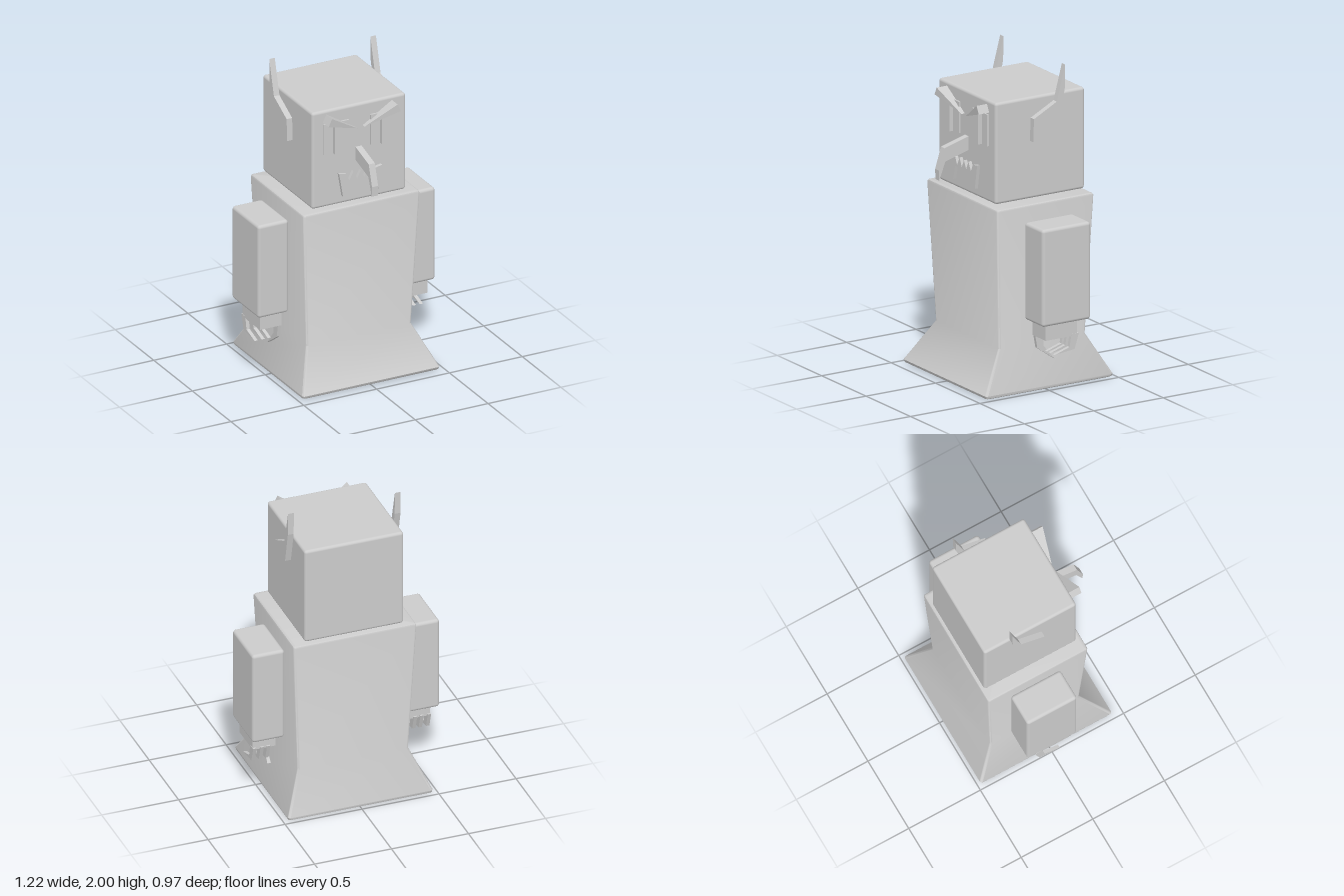
import * as THREE from 'three';
import { toCreasedNormals } from 'three/addons/utils/BufferGeometryUtils.js';
import { RoundedBoxGeometry } from 'three/addons/geometries/RoundedBoxGeometry.js';

const mat = new THREE.MeshStandardMaterial({ color: 0xcccccc });

function add(parent, name, geo) {
  const mesh = new THREE.Mesh(geo, mat);
  mesh.name = name;
  parent.add(mesh);
  return mesh;
}

// Box given by its extents on each axis; r rounds the edges
function block([x0, x1], [y0, y1], [z0, z1], r = 0) {
  const size = [x1 - x0, y1 - y0, z1 - z0];
  const geo = r ? new RoundedBoxGeometry(...size, 3, r) : new THREE.BoxGeometry(...size);
  return geo.translate((x0 + x1) / 2, (y0 + y1) / 2, (z0 + z1) / 2);
}

const outline = pts => new THREE.Shape(pts.map(p => new THREE.Vector2(...p)));

// Side profile of [z, y] points, given a thickness along x
function sidePlate(pts, cx, width) {
  return new THREE.ExtrudeGeometry(outline(pts), { depth: width, bevelEnabled: false })
    .rotateY(-Math.PI / 2).translate(cx + width / 2, 0, 0);
}

// Front profile of [x, y] points, with depth from z0 forwards
function frontPlate(pts, z0, depth) {
  return new THREE.ExtrudeGeometry(outline(pts), { depth, bevelEnabled: false }).translate(0, 0, z0);
}

// Loft through rounded rectangles: [y, half width, back z, front z]
function loft(rings, r, steps = 3) {
  const pos = [], idx = [], n = 4 * (steps + 1);
  for (const [y, hx, z0, z1] of rings) {
    for (let c = 0; c < 4; c++) {
      const sx = c === 0 || c === 3 ? 1 : -1, front = c < 2;
      for (let k = 0; k <= steps; k++) {
        const a = (c + k / steps) * Math.PI / 2;
        pos.push(sx * (hx - r) + r * Math.cos(a), y, (front ? z1 - r : z0 + r) + r * Math.sin(a));
      }
    }
  }
  for (let i = 0; i < rings.length - 1; i++) {
    for (let j = 0; j < n; j++) {
      const a = i * n + j, b = i * n + (j + 1) % n;
      idx.push(a, a + n, b, b, a + n, b + n);
    }
  }
  const top = (rings.length - 1) * n;
  for (let j = 1; j < n - 1; j++) idx.push(0, j, j + 1, top, top + j + 1, top + j);
  const geo = new THREE.BufferGeometry();
  geo.setAttribute('position', new THREE.Float32BufferAttribute(pos, 3));
  geo.setIndex(idx);
  return toCreasedNormals(geo, 0.8);
}

export function createModel() {
  const model = new THREE.Group();
  model.name = 'figure';

  // Body: slim waist, flared skirt, softened rims
  add(model, 'body', loft([
    [0, 0.455, -0.465, 0.42],
    [0.006, 0.466, -0.476, 0.431],
    [0.022, 0.47, -0.48, 0.436],
    [0.27, 0.36, -0.35, 0.272],
    [1.15, 0.4, -0.387, 0.31],
    [1.16, 0.396, -0.383, 0.306],
    [1.164, 0.386, -0.373, 0.296],
  ], 0.015));

  // Head
  const head = new THREE.Group();
  head.name = 'head';
  model.add(head);
  add(head, 'skull', block([-0.322, 0.322], [1.175, 1.818], [-0.37, 0.273], 0.018));
  add(head, 'nose', sidePlate([
    [0.26, 1.45], [0.44, 1.4], [0.484, 1.285], [0.487, 1.35], [0.445, 1.485], [0.26, 1.537],
  ], -0.004, 0.042));

  // Mouth strip: jagged teeth upwards, a long fang down at each end
  const half = [[0.1, 1.32], [0.122, 1.23], [0.148, 1.385], [0.098, 1.375], [0.078, 1.33], [0.05, 1.385], [0.025, 1.33]];
  const mirrored = half.map(([x, y]) => [-x, y]).reverse();
  add(head, 'mouth', frontPlate([...half, [0, 1.38], ...mirrored], 0.265, 0.03));

  for (const s of [1, -1]) {
    const span = (a, b) => s > 0 ? [a, b] : [-b, -a];

    add(head, 'ear', sidePlate([
      [0.03, 1.545], [0.025, 1.69], [-0.14, 1.775], [-0.2, 2], [-0.197, 1.85], [-0.15, 1.64],
    ], s * 0.347, 0.038));

    // Eye with a raised upright pupil
    add(head, 'eye', block(span(0.074, 0.246), [1.53, 1.73], [0.26, 0.285]));
    add(head, 'pupil', block(span(0.138, 0.185), [1.53, 1.73], [0.26, 0.312]));

    // Brow: wedge that gets thinner towards the nose
    const pts = [[0.025, 1.667], [0.249, 1.743], [0.225, 1.792]].map(([x, y]) => [s * x, y]);
    const brow = frontPlate(pts, 0, 1);
    const p = brow.attributes.position;
    for (let i = 0; i < p.count; i++) {
      const depth = 0.038 + 0.05 * Math.min(1, (Math.abs(p.getX(i)) - 0.025) / 0.2);
      p.setZ(i, 0.26 + p.getZ(i) * depth);
    }
    brow.computeVertexNormals();
    add(head, 'brow', brow);

    // Arm with a blocky hand and hooked claws
    const arm = new THREE.Group();
    arm.name = s > 0 ? 'leftArm' : 'rightArm';
    model.add(arm);
    add(arm, 'sleeve', block(span(0.398, 0.608), [0.443, 1.06], [-0.232, 0.116], 0.02));
    add(arm, 'hand', block(span(0.428, 0.576), [0.346, 0.46], [-0.15, 0.075]));
    for (const x of [0.567, 0.519, 0.477]) {
      add(arm, 'finger', sidePlate([
        [-0.11, 0.36], [-0.095, 0.28], [0.01, 0.246], [-0.132, 0.262], [-0.163, 0.36],
      ], s * x, 0.022));
    }
    add(arm, 'thumb', sidePlate([
      [0.07, 0.35], [0.055, 0.265], [-0.07, 0.178], [0.012, 0.275], [0.012, 0.35],
    ], s * 0.439, 0.022));
  }
  return model;
}
